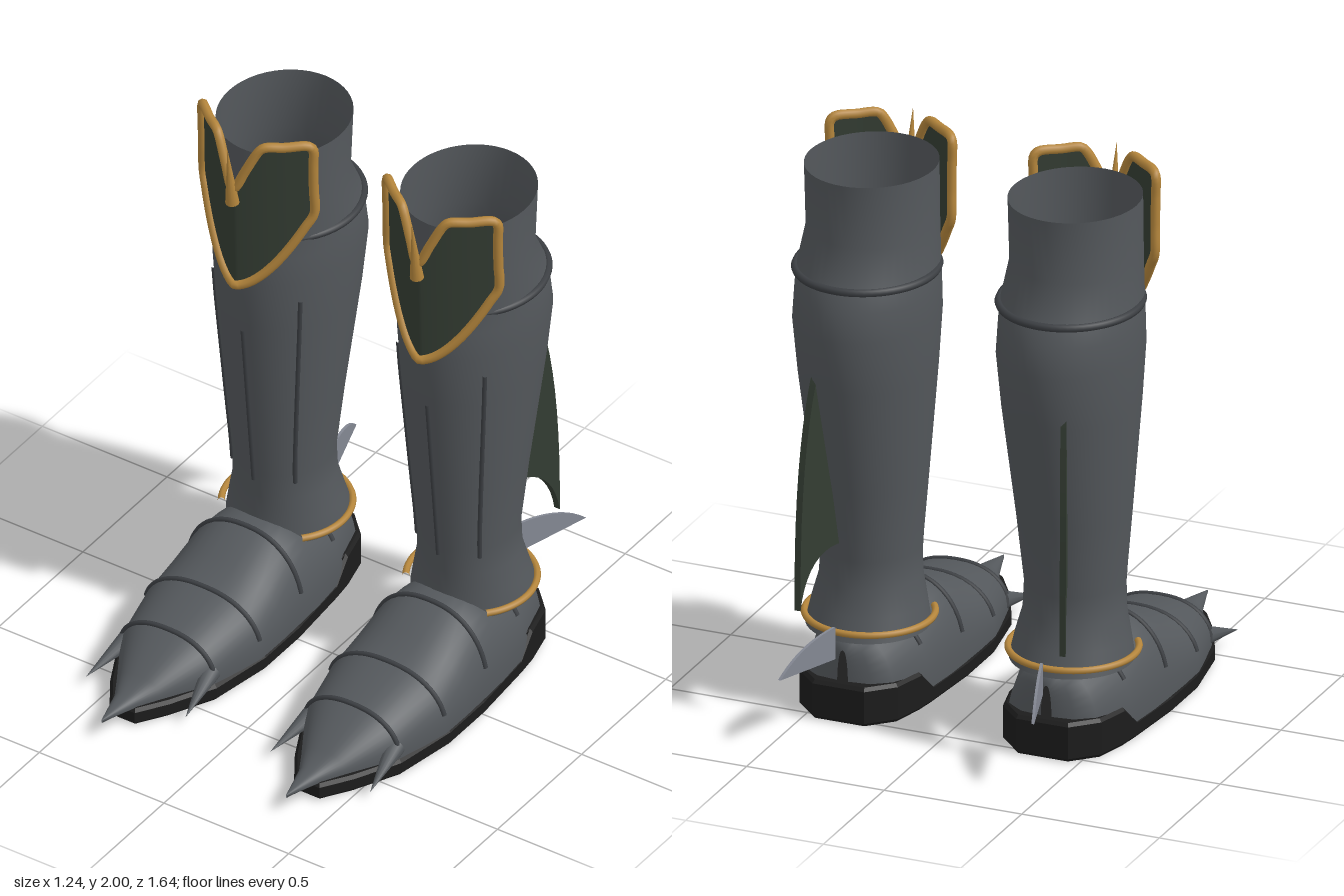
import * as THREE from 'three';

const V = (x, y, z) => new THREE.Vector3(x, y, z);
const mat = (name, color, side = THREE.FrontSide) => {
  const m = new THREE.MeshStandardMaterial({ color, side });
  m.name = name;
  return m;
};

// Skin a list of closed rings of points
function loft(rings) {
  const n = rings[0].length, pos = [], idx = [];
  rings.forEach(r => r.forEach(p => pos.push(p.x, p.y, p.z)));
  for (let i = 0; i < rings.length - 1; i++) {
    for (let j = 0; j < n; j++) {
      const k = (j + 1) % n, a = i * n + j, b = i * n + k, c = a + n, d = b + n;
      idx.push(a, b, c, b, d, c);
    }
  }
  const g = new THREE.BufferGeometry();
  g.setAttribute('position', new THREE.Float32BufferAttribute(pos, 3));
  g.setIndex(idx);
  g.computeVertexNormals();
  return g;
}

const tube = (pts, r, closed = false, seg = 64) =>
  new THREE.TubeGeometry(new THREE.CatmullRomCurve3(pts, closed), seg, r, 8, closed);

// Rows: height, half width, front z, back z
const LEG = [
  [0.28, 0.21, -0.08, -0.505], [0.36, 0.195, -0.09, -0.475], [0.45, 0.172, -0.088, -0.452],
  [0.55, 0.168, -0.08, -0.45], [0.8, 0.19, -0.055, -0.49], [1.2, 0.226, -0.015, -0.57],
  [1.4, 0.24, 0, -0.6], [1.5, 0.238, -0.01, -0.58], [1.57, 0.236, -0.02, -0.56],
  [1.7, 0.222, -0.02, -0.49], [1.93, 0.222, -0.02, -0.51],
];
// Rows: z, half width, top height, base height
const FOOT = [
  [-0.505, 0.02, 0.25, 0.1], [-0.495, 0.1, 0.29, 0.06], [-0.45, 0.165, 0.3, 0.06], [-0.28, 0.215, 0.315, 0.06],
  [-0.13, 0.23, 0.355, 0.06], [-0.03, 0.234, 0.36, 0.06], [0.1, 0.237, 0.3, 0.06], [0.22, 0.236, 0.262, 0.06],
  [0.43, 0.19, 0.215, 0.06], [0.6, 0.09, 0.125, 0.06], [0.68, 0.045, 0.1, 0.065], [0.82, 0.002, 0.081, 0.077],
];

// Linear lookup in a table keyed by its first column
function sample(table, k) {
  let i = 0;
  while (i < table.length - 2 && table[i + 1][0] < k) i++;
  const a = table[i], b = table[i + 1], t = (k - a[0]) / (b[0] - a[0]);
  return a.map((v, j) => v + (b[j] - v) * t);
}

function ellipse(y, rx, zf, zb, n = 48, from = 0, span = Math.PI * 2) {
  return Array.from({ length: n }, (_, i) => {
    const t = from + span * i / n;
    return V(rx * Math.cos(t), y, (zf + zb) / 2 - (zf - zb) / 2 * Math.sin(t));
  });
}

// Point on the domed foot section
function footPoint([z, w, top, base], t) {
  const c = Math.cos(t), s = Math.sin(t);
  const x = w * Math.sign(c) * Math.abs(c) ** 0.85;
  return V(x, base + (s > 0 ? (top - base) * s ** 0.85 : 0.01 * s), z);
}

// Point on the bowed knee plate
const plateZ = (x, y) => 0.03 - 0.45 * Math.abs(x) - 1.1 * x * x + (y - 1.4) * 0.03;
const plateBottom = x => 1.4 + 0.3 * (Math.abs(x) / 0.222) ** 1.8;
const plateTop = x => (Math.abs(x) < 0.085 ? 1.8 + 0.185 * Math.abs(x) / 0.085 : 1.985);
const onPlate = (x, y, out = 0) => V(x, y, plateZ(x, y) + out);

function kneePlate() {
  const cols = 40, rows = 8, g = new THREE.PlaneGeometry(1, 1, cols, rows), p = g.attributes.position;
  for (let i = 0; i < p.count; i++) {
    const x = p.getX(i) * 0.444, v = p.getY(i) + 0.5, b = plateBottom(x);
    const y = b + (plateTop(x) - b) * v;
    p.setXYZ(i, x, y, plateZ(x, y));
  }
  g.computeVertexNormals();
  return g;
}

function kneeRim() {
  const pts = [];
  for (let i = -10; i <= 10; i++) pts.push([i * 0.0222, plateBottom(i * 0.0222)]);
  pts.push([0.222, 1.8], [0.222, 1.9], [0.222, 1.97], [0.21, 1.985], [0.15, 1.985], [0.095, 1.985], [0.08, 1.97],
    [0.04, 1.885], [0.006, 1.81], [-0.006, 1.81], [-0.04, 1.885], [-0.08, 1.97], [-0.095, 1.985], [-0.15, 1.985],
    [-0.21, 1.985], [-0.222, 1.97], [-0.222, 1.9], [-0.222, 1.8]);
  return tube(pts.map(([x, y]) => onPlate(x, y, 0.002)), 0.017, true, 160);
}

// Thin upright blade behind the leg: outline in (distance back, height), leaning outward
function blade(shape, thick, lean) {
  const g = new THREE.ExtrudeGeometry(shape, { depth: thick, bevelEnabled: false, curveSegments: 10 });
  g.translate(0, 0, -thick / 2).rotateY(Math.PI / 2);
  const p = g.attributes.position;
  for (let i = 0; i < p.count; i++) p.setX(i, p.getX(i) + lean(-p.getZ(i)));
  g.computeVertexNormals();
  return g;
}

function soleGeometry() {
  const half = [[0.045, 0.69], [0.11, 0.59], [0.19, 0.43], [0.23, 0.2], [0.23, 0], [0.21, -0.25],
    [0.2, -0.33], [0.17, -0.45], [0.09, -0.53]];
  const outline = [...half, ...half.map(([x, z]) => [-x, z]).reverse()].map(([x, z]) => new THREE.Vector2(x, -z));
  const g = new THREE.ExtrudeGeometry(new THREE.Shape(outline),
    { depth: 0.04, bevelThickness: 0.012, bevelSize: 0.01, bevelSegments: 1 });
  g.rotateX(-Math.PI / 2).translate(0, 0.014, 0);
  // raise the heel cup
  const p = g.attributes.position;
  for (let i = 0; i < p.count; i++) {
    if (p.getY(i) > 0.04) p.setY(i, p.getY(i) + 0.075 * THREE.MathUtils.smoothstep(-p.getZ(i), 0.24, 0.34));
  }
  g.computeVertexNormals();
  return g;
}

function spike(from, to, r) {
  const d = to.clone().sub(from), g = new THREE.ConeGeometry(r, d.length(), 12);
  g.applyQuaternion(new THREE.Quaternion().setFromUnitVectors(V(0, 1, 0), d.clone().normalize()));
  const c = from.clone().add(to).multiplyScalar(0.5);
  return g.translate(c.x, c.y, c.z);
}

export function createModel() {
  const steel = mat('steel', 0x54585c, THREE.DoubleSide);
  const darkSteel = mat('dark steel', 0x3c3f43);
  const green = mat('dark green', 0x343d33, THREE.DoubleSide);
  const gold = mat('gold', 0xb5863c);
  const black = mat('black', 0x1c1c1c);
  const silver = mat('silver', 0x848893, THREE.DoubleSide);
  const model = new THREE.Group();

  for (const m of [1, -1]) {
    const boot = new THREE.Group();
    boot.name = m > 0 ? 'leftBoot' : 'rightBoot';
    boot.position.x = m * 0.37;
    model.add(boot);
    const add = (name, geo, material) => {
      const mesh = new THREE.Mesh(geo, material);
      mesh.name = name;
      boot.add(mesh);
    };

    // Leg, foot and sole
    add('legShaft', loft(LEG.map(r => ellipse(...r))), steel);
    add('foot', loft(FOOT.map(r => Array.from({ length: 40 }, (_, i) => footPoint(r, i / 40 * Math.PI * 2)))), steel);
    add('sole', soleGeometry(), black);

    // Rings round the calf and the ankle
    add('calfRing', tube(ellipse(1.57, 0.236, -0.045, -0.56), 0.014, true), darkSteel);
    add('ankleRing', tube(ellipse(0.31, 0.218, -0.06, -0.5, 32, -0.75, Math.PI + 1.5), 0.012), gold);

    // Bands over the foot plates
    for (const [z, start] of [[-0.28, 0.6], [-0.03, 0.32], [0.22, 0.3], [0.43, 0.25]]) {
      const row = sample(FOOT, z), pts = [];
      for (let i = 0; i <= 24; i++) pts.push(footPoint(row, start + (Math.PI - 2 * start) * i / 24));
      add('footBand', tube(pts, 0.009), darkSteel);
    }

    // Ridges down the shin
    for (const [s, top] of [[-1, 1.32], [0, 1.18], [1, 1.32]]) {
      const pts = [];
      for (let i = 0; i <= 8; i++) {
        const y = 0.52 + (top - 0.52) * i / 8, [, rx, zf, zb] = sample(LEG, y), f = s * 0.74;
        pts.push(V(f * rx, y, (zf + zb) / 2 + (zf - zb) / 2 * Math.sqrt(1 - f * f)));
      }
      add('shinRidge', tube(pts, 0.008), darkSteel);
    }

    // Knee plate with its rim and centre spike
    add('kneePlate', kneePlate(), green);
    add('kneeRim', kneeRim(), gold);
    add('kneeSpike', spike(V(0, 1.75, 0.045), V(0, 1.99, 0.075), 0.024), gold);

    // Side claws on the toe
    for (const s of [-1, 1]) add('toeClaw', spike(V(s * 0.165, 0.1, 0.42), V(s * 0.2, 0.05, 0.62), 0.035), steel);

    // Calf fin
    const fin = new THREE.Shape();
    fin.moveTo(0.54, 1.28);
    fin.bezierCurveTo(0.6, 1.08, 0.625, 0.8, 0.622, 0.42);
    fin.bezierCurveTo(0.605, 0.55, 0.54, 0.63, 0.43, 0.61);
    fin.lineTo(0.43, 0.8);
    fin.lineTo(0.5, 1.12);
    add('calfFin', blade(fin, 0.022, s => m * (0.095 + (s - 0.58) * 0.4)), green);

    // Heel spur
    const spur = new THREE.Shape();
    spur.moveTo(0.56, 0.355);
    spur.quadraticCurveTo(0.72, 0.345, 0.82, 0.25);
    spur.lineTo(0.56, 0.24);
    add('heelSpur', blade(spur, 0.01, s => m * (0.02 + (s - 0.6) * 0.32)), silver);
  }
  return model;
}
